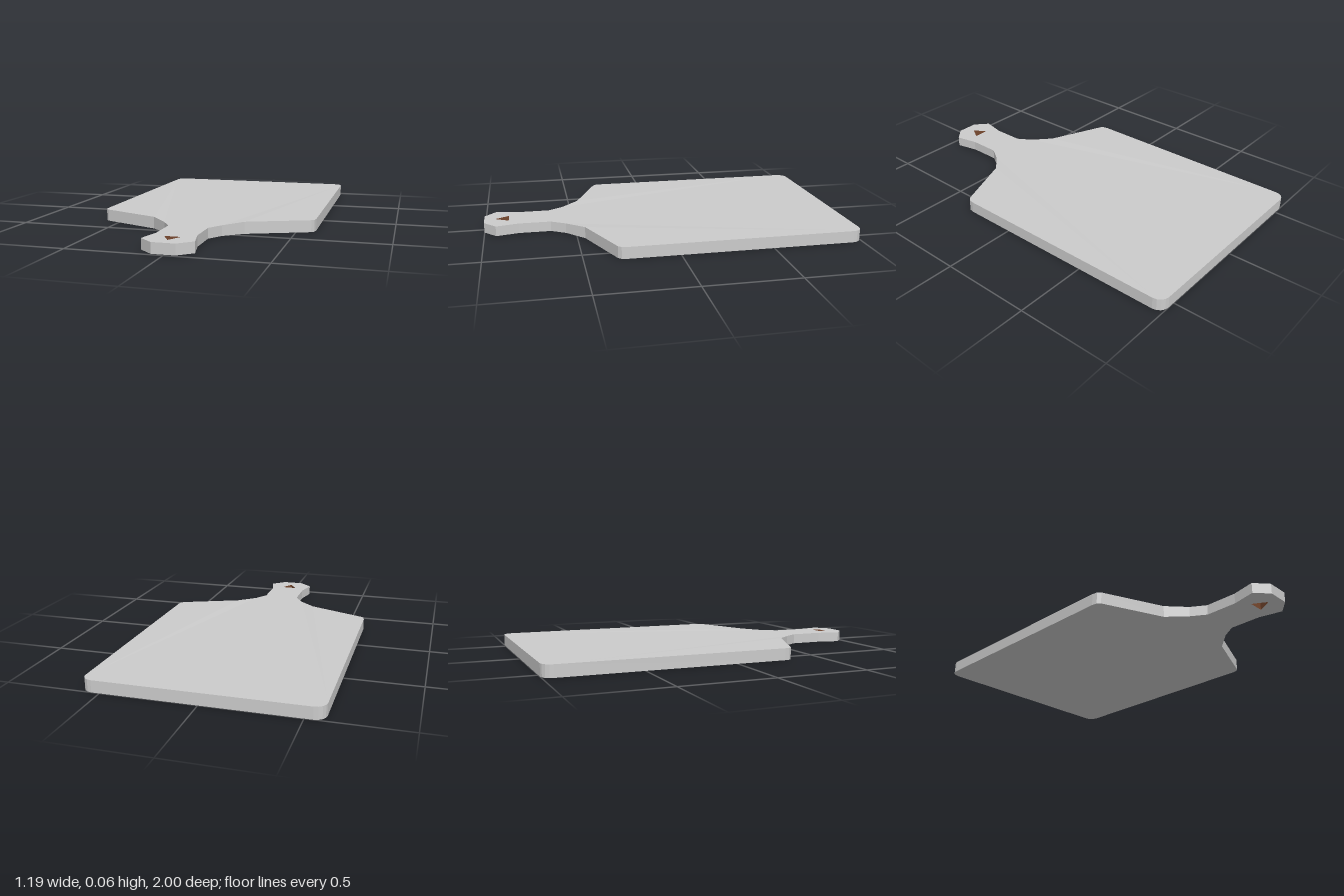
import * as THREE from 'three';

const THICK = 0.064;

// Copies a run of vertices out of a non-indexed geometry.
function slice(geo, start, end) {
  const part = new THREE.BufferGeometry();
  const pos = geo.attributes.position.array.slice(start * 3, end * 3);
  part.setAttribute('position', new THREE.BufferAttribute(pos, 3));
  part.computeVertexNormals();
  return part;
}

export function createModel() {
  const group = new THREE.Group();
  group.name = 'cuttingBoard';

  // Right half of the outline as [x, z], from the back edge to the handle tip
  const half = [];
  for (let i = 0; i <= 4; i++) {
    const a = (i / 4) * Math.PI / 2;
    half.push([0.542 + 0.055 * Math.sin(a), -0.945 - 0.055 * Math.cos(a)]);
  }
  half.push(
    [0.597, 0.28], [0.592, 0.308], [0.577, 0.325], // front corner
    [0.25, 0.458], [0.155, 0.555], [0.105, 0.635], // shoulder and neck
    [0.105, 0.81], [0.133, 0.935], [0.06, 1],      // grip and tip
  );
  const mirrored = half.map(([x, z]) => [-x, z]).reverse();
  const shape = new THREE.Shape([...half, ...mirrored].map(([x, z]) => new THREE.Vector2(x, z)));

  // Triangular hanging hole
  shape.holes.push(new THREE.Path([[-0.043, 0.865], [0, 0.94], [0.043, 0.865]]
    .map(([x, z]) => new THREE.Vector2(x, z))));

  const geo = new THREE.ExtrudeGeometry(shape, { depth: THICK, bevelEnabled: false });
  geo.rotateX(Math.PI / 2);
  geo.translate(0, THICK, 0);

  // The handle is slightly thinner than the blade
  const p = geo.attributes.position;
  for (let i = 0; i < p.count; i++) {
    if (p.getZ(i) > 0.5) p.setY(i, THICK / 2 + (p.getY(i) - THICK / 2) * 0.87);
  }

  // The three hole walls are the last 18 vertices
  const split = p.count - 18;
  const board = new THREE.Mesh(slice(geo, 0, split),
    new THREE.MeshStandardMaterial({ color: 0xcccccc, flatShading: true }));
  board.name = 'board';
  const hole = new THREE.Mesh(slice(geo, split, p.count),
    new THREE.MeshStandardMaterial({ color: 0x7a4a30, flatShading: true, side: THREE.DoubleSide }));
  hole.name = 'hangingHoleWall';
  group.add(board, hole);
  return group;
}
